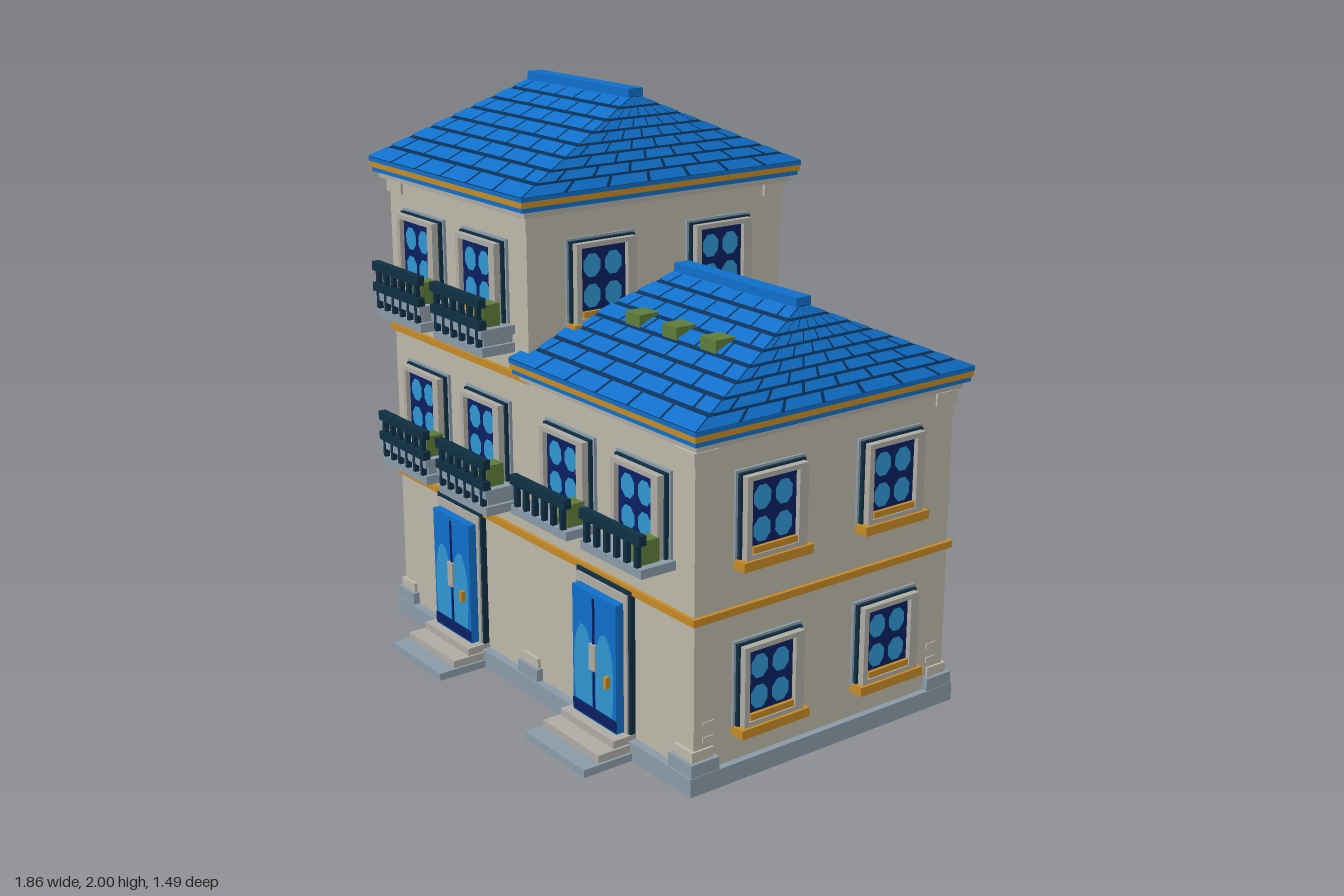
import * as THREE from 'three';

const mat = (name, color) => {
  const m = new THREE.MeshStandardMaterial({ color });
  m.name = name;
  return m;
};
const M = {
  wall: mat('stucco', 0xbdb8a9),
  trim: mat('paleTrim', 0xaeaca4),
  stone: mat('greyStone', 0x8a9ba8),
  ochre: mat('ochre', 0xc68a26),
  blue: mat('roofBlue', 0x0f6fca),
  seam: mat('tileSeam', 0x0a3058),
  iron: mat('darkIron', 0x0f2f42),
  navy: mat('glassNavy', 0x0a2060),
  sky: mat('glassHighlight', 0x2f97d2),
  green: mat('plantGreen', 0x5e7d3a),
};
M.sky.side = THREE.DoubleSide;

function add(parent, name, geo, material) {
  const m = new THREE.Mesh(geo, material);
  m.name = name;
  parent.add(m);
  return m;
}

// Box given by its limits on each axis
function box(parent, name, material, x0, x1, y0, y1, z0, z1) {
  const m = add(parent, name, new THREE.BoxGeometry(x1 - x0, y1 - y0, z1 - z0), material);
  m.position.set((x0 + x1) / 2, (y0 + y1) / 2, (z0 + z1) / 2);
  return m;
}

function group(parent, name, x = 0, y = 0, z = 0, turn = 0) {
  const g = new THREE.Group();
  g.name = name;
  g.position.set(x, y, z);
  g.rotation.y = turn;
  parent.add(g);
  return g;
}

// Flat quads as one geometry
function quads(list) {
  const p = [];
  for (const [a, b, c, d] of list) for (const v of [a, b, c, a, c, d]) p.push(v.x, v.y, v.z);
  const g = new THREE.BufferGeometry();
  g.setAttribute('position', new THREE.Float32BufferAttribute(p, 3));
  g.computeVertexNormals();
  return g;
}

// Hipped roof: seam-coloured slopes covered with staggered tiles
function roof(parent, x0, x1, zh, y0, r0, r1, y1) {
  const g = group(parent, 'roof');
  const V = (x, y, z) => new THREE.Vector3(x, y, z), t = 0.015;
  const FL = V(x0, y0, zh), FR = V(x1, y0, zh), BR = V(x1, y0, -zh), BL = V(x0, y0, -zh);
  const fl = V(r0, y1, t), fr = V(r1, y1, t), br = V(r1, y1, -t), bl = V(r0, y1, -t);
  const faces = [[FL, FR, fr, fl], [FR, BR, br, fr], [BR, BL, bl, br], [BL, FL, fl, bl]];
  add(g, 'roofSlopes', quads(faces), M.seam);
  const tiles = [], rows = 8;
  faces.forEach(([a, b, c, d], k) => {
    const n = b.clone().sub(a).cross(d.clone().sub(a)).normalize().multiplyScalar(0.004);
    const at = (u, v) => a.clone().lerp(b, u).lerp(d.clone().lerp(c, u), v).add(n);
    const count = k % 2 ? 7 : 6, gap = 0.006;
    for (let i = 0; i < rows; i++) {
      const v0 = i / rows + (i ? 0.014 : 0), v1 = (i + 1) / rows - 0.014;
      for (let j = 0; j <= count; j++) {
        const s = j - (i % 2 ? 0.5 : 0);
        const u0 = Math.max(0, s / count + gap), u1 = Math.min(1, (s + 1) / count - gap);
        if (u1 - u0 < 0.02) continue;
        const l = s <= 0 ? 0 : u0, r = s + 1 >= count ? 1 : u1;
        tiles.push([at(l, v0), at(r, v0), at(r, v1), at(l, v1)]);
      }
    }
  });
  add(g, 'roofTiles', quads(tiles), M.blue);
  box(g, 'ridgeCap', M.blue, r0, r1, y1 - 0.015, y1 + 0.027, -0.03, 0.03);
  // eave and cornice layers
  const layer = (name, m, inset, ya, yb) =>
    box(g, name, m, x0 + inset, x1 - inset, y0 + ya, y0 + yb, -zh + inset, zh - inset);
  layer('eave', M.blue, 0, -0.014, 0);
  layer('gutter', M.ochre, 0.002, -0.034, -0.014);
  layer('fascia', M.blue, 0.008, -0.05, -0.034);
  layer('cornice', M.trim, 0.025, -0.072, -0.05);
}

// Flat frame with a rectangular opening
function frame(w, y0, y1, hx0, hx1, hy0, hy1, depth) {
  const s = new THREE.Shape([[-w, y0], [w, y0], [w, y1], [-w, y1]].map(p => new THREE.Vector2(...p)));
  s.holes.push(new THREE.Path([[hx0, hy0], [hx0, hy1], [hx1, hy1], [hx1, hy0]].map(p => new THREE.Vector2(...p))));
  return new THREE.ExtrudeGeometry(s, { depth, bevelEnabled: false });
}

// Window built outward along its own +z
function windowUnit(parent, x, y, z, turn, sill = true) {
  const g = group(parent, 'window', x, y, z, turn);
  box(g, 'windowBack', M.stone, -0.137, 0.137, 0.02, 0.31, 0, 0.01);
  box(g, 'windowRebate', M.iron, -0.129, 0.129, 0.02, 0.302, 0, 0.022);
  add(g, 'windowFrame', frame(0.12, 0.025, 0.296, -0.1, 0.085, 0.045, 0.28, 0.025), M.trim).position.z = 0.02;
  box(g, 'glass', M.navy, -0.1, 0.085, 0.045, 0.28, 0.02, 0.028);
  for (const px of [-0.05, 0.035]) for (const py of [0.115, 0.217]) {
    const c = add(g, 'paneHighlight', new THREE.CircleGeometry(1, 8, Math.PI / 8), M.sky);
    c.position.set(px, py, 0.03);
    c.scale.set(0.036, 0.042, 1);
  }
  box(g, 'lowerBar', M.ochre, -0.09, 0.085, 0.045, 0.066, 0.028, 0.04);
  if (sill) box(g, 'sill', M.ochre, -0.137, 0.137, 0, 0.03, 0, 0.055);
  else box(g, 'sill', M.stone, -0.137, 0.137, 0, 0.03, 0, 0.05);
}

// Balcony with railing and planter; tall ones have a second slab below
function balcony(parent, x, y, tall) {
  const g = group(parent, 'balcony', x, y, 0.53);
  box(g, 'slab', M.stone, -0.157, 0.157, 0, 0.03, 0, 0.13);
  box(g, 'topRail', M.iron, -0.155, 0.155, 0.103, 0.135, 0.108, 0.135);
  if (tall) {
    box(g, 'lowerSlab', M.stone, -0.153, 0.153, -0.062, -0.03, 0, 0.125);
    box(g, 'lowerRail', M.iron, -0.155, 0.155, 0.03, 0.06, 0.108, 0.135);
    box(g, 'slabCore', M.stone, -0.14, 0.14, -0.03, 0, 0, 0.11);
  }
  for (let i = 0; i < 6; i++) {
    const px = -0.13 + i * 0.052;
    box(g, 'baluster', M.iron, px - 0.008, px + 0.008, tall ? -0.03 : 0.03, 0.11, 0.114, 0.131);
  }
  box(g, 'planter', M.green, 0.075, 0.13, 0.03, 0.105, 0.04, 0.106);
}

// Door with steps; back doors get a canopy
function door(parent, x, z, turn, canopy) {
  const g = group(parent, 'door', x, 0, z, turn), top = canopy ? 0.5 : 0.565;
  box(g, 'doorSurround', M.iron, -0.145, 0.145, 0.06, top, 0, 0.02);
  box(g, 'doorFrame', M.trim, -0.135, 0.135, 0.06, top - 0.014, 0, 0.026);
  box(g, 'doorLeaf', M.blue, -0.118, 0.118, 0.08, top - 0.045, 0, 0.056);
  box(g, 'kickPlate', M.navy, -0.118, 0.118, 0.085, 0.125, 0.05, 0.058);
  box(g, 'doorSeam', M.navy, -0.004, 0.004, 0.125, top - 0.06, 0.052, 0.06);
  for (const s of [-1, 1]) {
    const p = new THREE.Shape();
    p.moveTo(s * 0.01, 0.13);
    p.lineTo(s * 0.1, 0.13);
    p.quadraticCurveTo(s * 0.125, 0.34, s * 0.07, 0.4);
    p.quadraticCurveTo(s * 0.02, 0.41, s * 0.01, 0.3);
    add(g, 'doorHighlight', new THREE.ShapeGeometry(p, 5), M.sky).position.z = 0.059;
  }
  box(g, 'letterPlate', M.trim, -0.016, 0.016, 0.26, 0.35, 0.055, 0.066);
  box(g, 'knob', M.ochre, 0.075, 0.09, 0.23, 0.27, 0.055, 0.075);
  [[0.215, 0.026, 0.165], [0.152, 0.052, 0.155], [0.088, 0.078, 0.147]].forEach(([d, h, w], i) =>
    box(g, 'step', i ? M.trim : M.stone, -w, w, 0, h, 0, d));
  if (canopy) {
    box(g, 'canopy', M.stone, -0.155, 0.155, 0.485, 0.512, 0, 0.095);
    box(g, 'canopyBracket', M.trim, -0.135, 0.135, 0.465, 0.485, 0, 0.06);
  }
}

export function createModel() {
  const root = new THREE.Group();
  root.name = 'townHouse';
  const W = 0.53, X = 0.872, Q = Math.PI / 2;

  // Walls and plinth
  box(root, 'towerWalls', M.wall, -X, 0, 0.03, 1.66, -W, W);
  box(root, 'lowWalls', M.wall, 0, X, 0.03, 1.12, -W, W);
  box(root, 'plinth', M.stone, -0.895, 0.895, 0, 0.062, -0.56, 0.56);

  // Corner bases, quoins and capitals
  for (const s of [-1, 1]) {
    for (const cx of [-0.835, -0.01, 0.835]) {
      const cz = s * 0.5;
      box(root, 'cornerBase', M.stone, cx - 0.058, cx + 0.058, 0, 0.105, cz - 0.055, cz + 0.055);
      box(root, 'cornerBlock', M.wall, cx - 0.045, cx + 0.045, 0.105, 0.138, cz - 0.042, cz + 0.042);
    }
    for (const cx of [-0.835, 0.835]) for (const y of [0.155, 0.205])
      box(root, 'quoin', M.wall, cx - 0.041, cx + 0.041, y, y + 0.02, s * 0.475 - 0.022, s * 0.475 + 0.022);
    for (const [cx, y] of [[-0.83, 1.605], [-0.038, 1.605], [0.83, 1.055]])
      box(root, 'capital', M.wall, cx - 0.05, cx + 0.05, y, y + 0.042, s * 0.495 - 0.045, s * 0.495 + 0.045);
  }

  // String courses
  box(root, 'lowCourse', M.ochre, -0.885, 0.885, 0.553, 0.577, -0.543, 0.543);
  box(root, 'highCourse', M.ochre, -0.885, 0.008, 1.1, 1.124, -0.543, 0.543);

  // Roofs and roof boxes
  roof(root, -0.928, 0.052, 0.58, 1.722, -0.74, -0.13, 1.973);
  roof(root, -0.06, 0.922, 0.57, 1.178, 0.12, 0.732, 1.428);
  for (const x of [0.237, 0.43, 0.623])
    box(root, 'roofVent', M.green, x - 0.038, x + 0.038, 1.29, 1.347, 0.21, 0.287);

  // Side windows
  const floors = [0.153, 0.703, 1.25];
  for (const z of [-0.247, 0.247]) floors.forEach((y, i) => {
    windowUnit(root, -X, y, z, -Q);
    windowUnit(root, i < 2 ? X : 0, y, z, Q);
  });

  // Front and back windows, balconies
  for (const x of [-0.635, -0.245, 0.24, 0.63]) floors.forEach((y, i) => {
    if (x > 0 && i === 2) return;
    windowUnit(root, x, y, -W, Math.PI);
    if (i === 0) return;
    windowUnit(root, x, y, W, 0, false);
    balcony(root, x < 0 ? x + 0.01 : x - 0.006, y, x < 0);
  });

  // Doors
  for (const x of [-0.437, 0.43]) {
    door(root, x, W, 0, false);
    door(root, x, -W, Math.PI, true);
  }

  // Drainpipes on the back
  for (const [x, h] of [[-0.81, 1.67], [-0.06, 1.67], [0.06, 1.12], [0.81, 1.12]]) {
    const p = add(root, 'drainpipe', new THREE.CylinderGeometry(0.014, 0.014, h - 0.03, 8), M.blue);
    p.position.set(x, (h + 0.03) / 2, -0.549);
    box(root, 'pipeShoe', M.blue, x - 0.018, x + 0.018, 0.02, 0.055, -0.585, -0.535);
  }
  return root;
}
